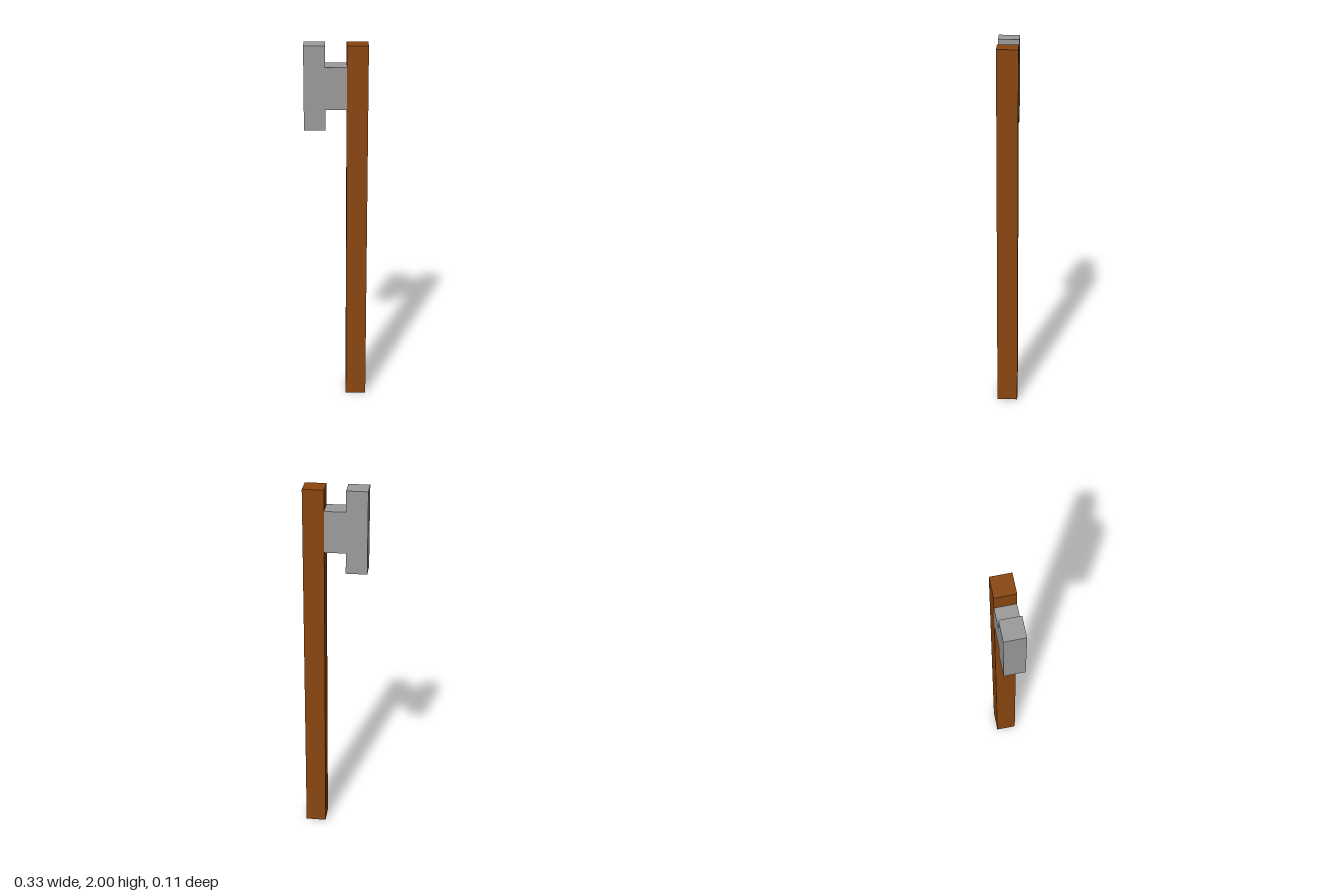
import * as THREE from 'three';

const U = 2 / 18; // block unit: the handle is 18 units tall

export function createModel() {
  const wood = new THREE.MeshStandardMaterial({ name: 'brown wood', color: 0x8b4710 });
  const metal = new THREE.MeshStandardMaterial({ name: 'grey metal', color: 0x9c9c9c });
  const model = new THREE.Group();
  model.name = 'axe';

  // One-unit-square bar, placed by its column and bottom height in units
  const addBar = (name, material, column, bottom, height) => {
    const mesh = new THREE.Mesh(new THREE.BoxGeometry(U, height * U, U), material);
    mesh.name = name;
    mesh.position.set(column * U, (bottom + height / 2) * U, 0);
    model.add(mesh);
  };

  addBar('handle', wood, 1, 0, 18);
  addBar('bladeNeck', metal, 0, 15, 2);
  addBar('bladeEdge', metal, -1, 14, 4);

  return model;
}
